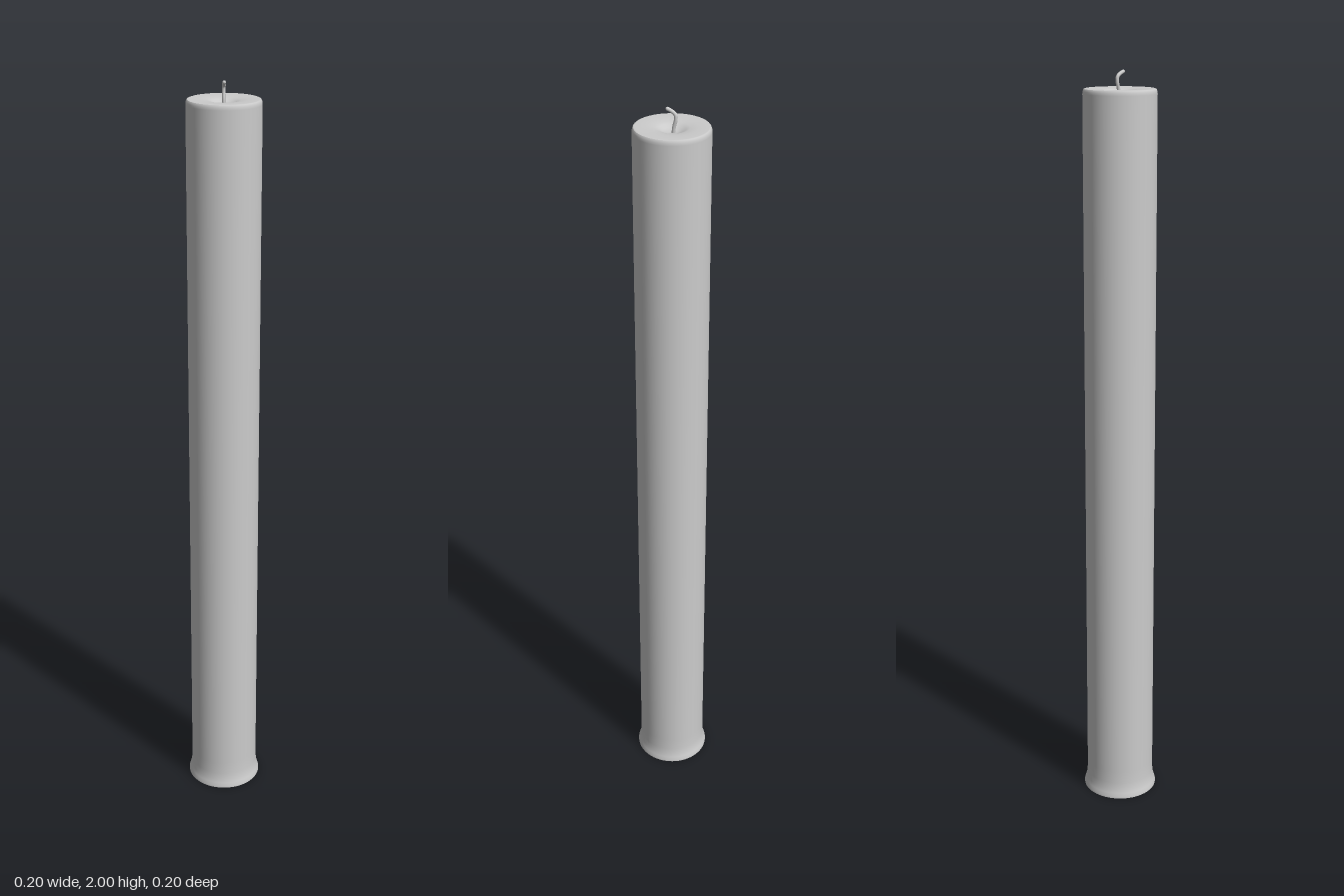
import * as THREE from 'three';

const material = new THREE.MeshStandardMaterial({ color: 0xcccccc });
const SEGMENTS = 64;

// Surface of revolution from [radius, height] pairs
function lathe(name, profile) {
  const points = profile.map(([r, y]) => new THREE.Vector2(r, y));
  const mesh = new THREE.Mesh(new THREE.LatheGeometry(points, SEGMENTS), material);
  mesh.name = name;
  return mesh;
}

export function createModel() {
  const candle = new THREE.Group();
  candle.name = 'candle';

  // Flat underside
  candle.add(lathe('underside', [[0, 0], [0.102, 0]]));

  // Wax column with a flared foot and a softly rounded shoulder
  candle.add(lathe('waxColumn', [
    [0.102, 0], [0.102, 0.005], [0.099, 0.015], [0.096, 0.026], [0.094, 0.045], [0.0935, 0.08],
    [0.0935, 1.943], [0.093, 1.949], [0.0915, 1.953], [0.09, 1.955],
  ]));

  // Top face dipping into a small melted hollow around the wick
  candle.add(lathe('waxTop', [
    [0.09, 1.955], [0.087, 1.956], [0.06, 1.955], [0.042, 1.953], [0.032, 1.95],
    [0.023, 1.945], [0.013, 1.942], [0, 1.941],
  ]));

  // Wick that rises, then bends forward
  const path = new THREE.CatmullRomCurve3([
    [-0.003, 1.935], [-0.005, 1.955], [-0.009, 1.972], [-0.008, 1.984], [0, 1.991], [0.011, 1.996],
  ].map(([z, y]) => new THREE.Vector3(0, y, z)));
  const wickRadius = 0.0045;
  const wick = new THREE.Mesh(new THREE.TubeGeometry(path, 32, wickRadius, 12), material);
  wick.name = 'wick';
  candle.add(wick);

  // Rounded end of the wick
  const tip = new THREE.Mesh(new THREE.SphereGeometry(wickRadius, 12, 8), material);
  tip.name = 'wickTip';
  tip.position.copy(path.getPoint(1));
  tip.scale.setScalar(0.99);
  candle.add(tip);

  return candle;
}
